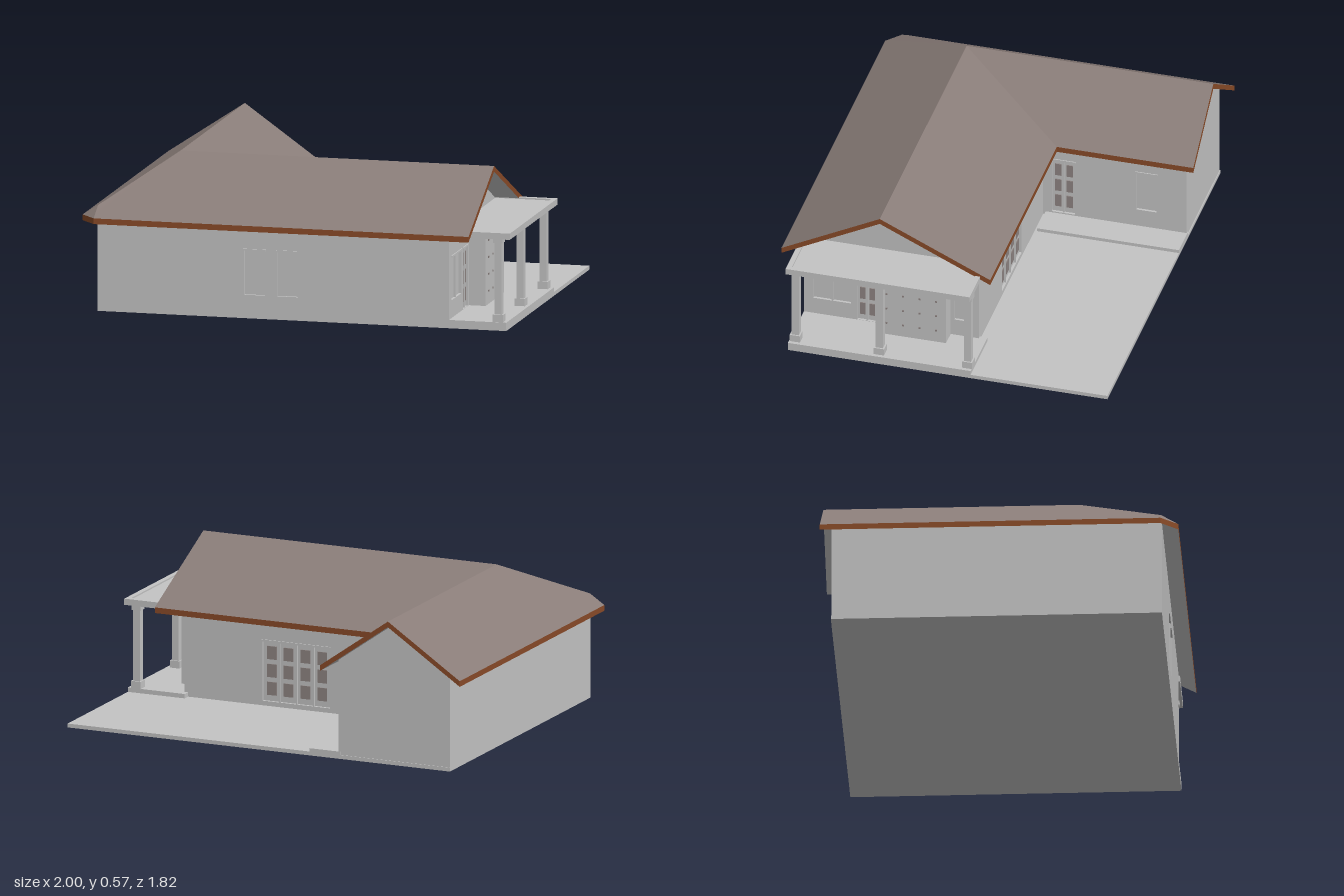
import * as THREE from 'three';

const mat = (name, color, side = THREE.FrontSide) => {
  const m = new THREE.MeshStandardMaterial({ color, side });
  m.name = name;
  return m;
};

export function createModel() {
  const white = mat('plaster', 0xc4c4c4);
  const roofMat = mat('roofTile', 0x8a7d79);
  const brown = mat('fasciaBrown', 0x8a4b28, THREE.DoubleSide);
  const glass = mat('paneGrey', 0x8f8583);

  const model = new THREE.Group();
  model.name = 'house';
  const house = new THREE.Group(); // aligned with the wings, then turned
  house.name = 'houseBody';
  house.rotation.y = -22 * Math.PI / 180;
  model.add(house);

  const add = (name, geo, m, parent = house) => {
    const mesh = new THREE.Mesh(geo, m);
    mesh.name = name;
    parent.add(mesh);
    return mesh;
  };
  // box given by its limits
  const box = (name, x0, x1, y0, y1, z0, z1, m = white, parent = house) => {
    const mesh = add(name, new THREE.BoxGeometry(x1 - x0, y1 - y0, z1 - z0), m, parent);
    mesh.position.set((x0 + x1) / 2, (y0 + y1) / 2, (z0 + z1) / 2);
    return mesh;
  };

  // ground slab, raised porch floor and step along the wing
  box('groundSlab', -0.765, 0.827, 0, 0.015, -0.615, 0.635);
  box('porchFloor', 0.59, 0.827, 0, 0.032, -0.08, 0.635);
  box('wingStep', -0.31, -0.18, 0.01, 0.028, -0.615, -0.06);

  // roof: sloping panels meeting at ridges, valley and hip
  const E = 0.367, T = 0.567, thick = 0.022;
  const P = {
    sw: [-0.764, E, 0.697], se: [0.696, E, 0.697], ne: [0.696, E, -0.12],
    valley: [-0.243, E, -0.12], wingE: [-0.243, E, -0.654], wingW: [-0.824, E, -0.654],
    west: [-0.824, E, 0.632], hip: [-0.764, 0.406, 0.632],
    join: [-0.525, T, 0.312], ridgeE: [0.696, T, 0.312], ridgeN: [-0.525, T, -0.654],
  };
  const fan = (pts, flip, drop) => {
    const pos = [], idx = [];
    pts.forEach(k => pos.push(P[k][0], P[k][1] - drop, P[k][2]));
    for (let i = 1; i < pts.length - 1; i++) idx.push(0, flip ? i + 1 : i, flip ? i : i + 1);
    const g = new THREE.BufferGeometry();
    g.setAttribute('position', new THREE.Float32BufferAttribute(pos, 3));
    g.setIndex(idx);
    g.computeVertexNormals();
    return g;
  };
  const panels = {
    frontSlope: ['sw', 'se', 'ridgeE', 'join', 'hip'],
    backSlope: ['ne', 'valley', 'join', 'ridgeE'],
    wingEastSlope: ['valley', 'wingE', 'ridgeN', 'join'],
    westSlope: ['wingW', 'west', 'hip', 'join', 'ridgeN'],
    cornerSlope: ['west', 'sw', 'hip'],
  };
  for (const [name, pts] of Object.entries(panels)) {
    add(name, fan(pts, false, 0), roofMat);
    add(name + 'Soffit', fan(pts, true, thick), white);
  }
  // brown band around the whole roof edge
  const edge = ['sw', 'se', 'ridgeE', 'ne', 'valley', 'wingE', 'ridgeN', 'wingW', 'west', 'sw'];
  const bandPos = [];
  for (let i = 0; i < edge.length - 1; i++) {
    const [a, b] = [P[edge[i]], P[edge[i + 1]]];
    const a2 = [a[0], a[1] - thick, a[2]], b2 = [b[0], b[1] - thick, b[2]];
    bandPos.push(...a2, ...a, ...b, ...a2, ...b, ...b2);
  }
  const band = new THREE.BufferGeometry();
  band.setAttribute('position', new THREE.Float32BufferAttribute(bandPos, 3));
  band.computeVertexNormals();
  add('fascia', band, brown);

  // wall from an outline, with recessed openings [x0, x1, y0, y1, kind]
  const wall = (name, outline, openings, x, z, turn) => {
    const g = new THREE.Group();
    g.name = name;
    g.position.set(x, 0, z);
    g.rotation.y = turn;
    house.add(g);
    const shape = new THREE.Shape(outline.map(p => new THREE.Vector2(...p)));
    for (const [x0, x1, y0, y1] of openings) {
      shape.holes.push(new THREE.Path([[x0, y0], [x0, y1], [x1, y1], [x1, y0]].map(p => new THREE.Vector2(...p))));
    }
    const geo = new THREE.ExtrudeGeometry(shape, { depth: 0.025, bevelEnabled: false });
    geo.translate(0, 0, -0.025);
    add(name + 'Panel', geo, white, g);
    for (const [x0, x1, y0, y1, kind] of openings) {
      box('openingBack', x0, x1, y0, y1, -0.022, -0.01, white, g);
      const w = x1 - x0, h = y1 - y0;
      box('lintel', x0 - 0.004, x1 + 0.004, y1, y1 + 0.007, -0.005, 0.004, white, g);
      if (kind === 'double') box('mullion', (x0 + x1) / 2 - 0.004, (x0 + x1) / 2 + 0.004, y0, y1, -0.011, -0.002, white, g);
      if (kind === 'door' || kind === 'french') {
        const cols = kind === 'door' ? 2 : 4;
        for (let c = 0; c < cols; c++) for (let r = 0; r < 3; r++) {
          const px = x0 + w * (c + 0.22) / cols, py = y0 + h * (0.1 + r * 0.3);
          box('doorPane', px, px + w * 0.56 / cols, py, py + h * 0.22, -0.011, -0.006, glass, g);
        }
        for (let c = 1; c < cols; c++) {
          const px = x0 + w * c / cols;
          box('doorStile', px - 0.003, px + 0.003, y0, y1, -0.011, -0.003, white, g);
        }
      }
    }
  };
  const H = Math.PI / 2, y0 = 0.012;
  const fW = -0.765, fE = 0.604, zF = 0.635, zB = -0.05, wE = -0.3, zN = -0.612;
  wall('frontWall', [[fW, y0], [fE, y0], [fE, 0.375], [fW, 0.375]],
    [[-0.194, -0.113, 0.09, 0.26], [-0.065, 0.016, 0.09, 0.26]], 0, zF, 0);
  wall('porchGableWall', [[-zF, y0], [-zB, y0], [-zB, 0.376], [-0.312, 0.543], [-zF, 0.376]],
    [[-0.597, -0.45, 0.1, 0.265, 'double'], [-0.425, -0.35, 0.033, 0.265, 'door'], [-0.045, 0.035, 0.1, 0.265, 'double']],
    fE, 0, H);
  wall('backWall', [[-fE, y0], [-wE, y0], [-wE, 0.376], [-fE, 0.376]],
    [[-0.28, 0, 0.033, 0.265, 'french']], 0, zB, 2 * H);
  wall('wingEastWall', [[-zB, y0], [-zN, y0], [-zN, 0.384], [-zB, 0.384]],
    [[0.085, 0.175, 0.033, 0.265, 'door'], [0.415, 0.495, 0.1, 0.265]], wE, 0, H);
  wall('wingGableWall', [[-wE, y0], [-fW, y0], [-fW, 0.384], [0.525, 0.543], [-wE, 0.384]],
    [], 0, zN, 2 * H);
  wall('westWall', [[zN, y0], [zF, y0], [zF, 0.376], [0.58, 0.384], [zN, 0.384]], [], fW, 0, -H);

  // projecting bay with small studs
  box('bay', 0.59, 0.669, 0.03, 0.355, 0.06, 0.335);
  for (let r = 0; r < 4; r++) for (let c = 0; c < 4; c++) {
    const y = 0.08 + r * 0.065, z = 0.095 + c * 0.065;
    box('bayStud', 0.668, 0.672, y, y + 0.007, z, z + 0.007, glass);
  }

  // porch cover: flat slab with a raised rim and a beam beneath
  box('porchCover', 0.59, 0.835, 0.355, 0.37, -0.075, 0.635);
  box('porchRimEast', 0.822, 0.842, 0.352, 0.376, -0.08, 0.64);
  box('porchRimFront', 0.606, 0.842, 0.352, 0.376, 0.62, 0.64);
  box('porchRimBack', 0.606, 0.842, 0.352, 0.376, -0.08, -0.06);
  box('porchBeam', 0.78, 0.806, 0.338, 0.356, -0.075, 0.625);

  // porch posts with plinth and cap
  for (const z of [-0.062, 0.283, 0.612]) {
    const post = (name, r, a, b) => box(name, 0.793 - r, 0.793 + r, a, b, z - r, z + r);
    post('postPlinth', 0.02, 0.03, 0.06);
    post('postShaft', 0.014, 0.05, 0.345);
    post('postCap', 0.018, 0.335, 0.355);
  }
  return model;
}
